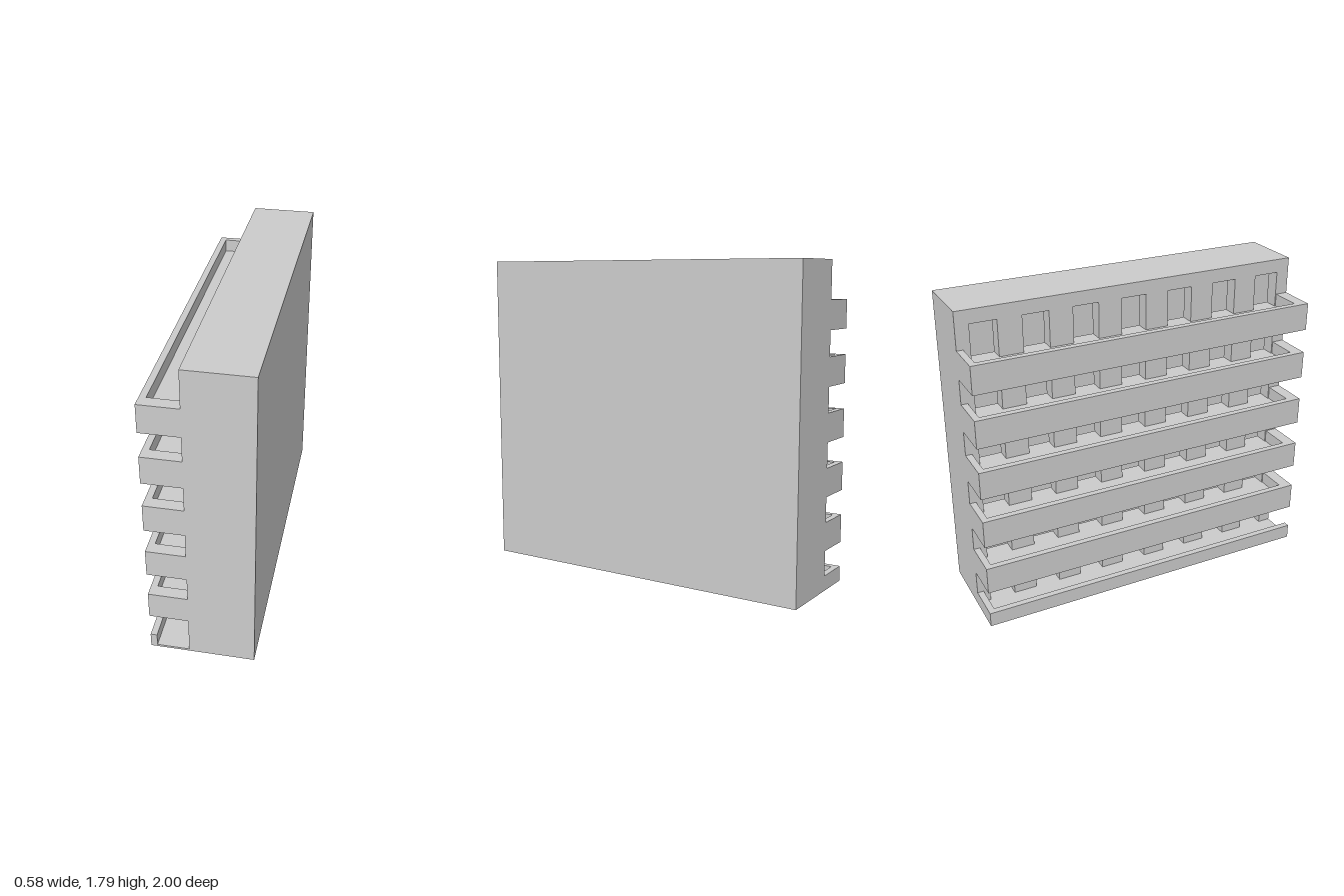
import * as THREE from 'three';

const mat = new THREE.MeshStandardMaterial({ color: 0xcccccc, flatShading: true });
const openMat = new THREE.MeshStandardMaterial({ color: 0xcccccc, flatShading: true, side: THREE.DoubleSide });
const H = 1.787, FRONT = -0.073, DEPTH = 0.08, OUT = 0.288, RAIL = 0.036;
const STOREY = 0.2985, FLOOR = 0.0125, FLOORS = 6, BAYS = 7;

function add(parent, name, geometry, material = mat) {
  const mesh = new THREE.Mesh(geometry, material);
  mesh.name = name;
  parent.add(mesh);
}

// Box given by its two extreme corners
function box(x0, x1, y0, y1, z0, z1) {
  return new THREE.BoxGeometry(x1 - x0, y1 - y0, z1 - z0)
    .translate((x0 + x1) / 2, (y0 + y1) / 2, (z0 + z1) / 2);
}

function rect(path, x0, x1, y0, y1) {
  path.moveTo(x0, y0);
  path.lineTo(x1, y0);
  path.lineTo(x1, y1);
  path.lineTo(x0, y1);
  path.closePath();
  return path;
}

export function createModel() {
  const model = new THREE.Group();
  model.name = 'balconyBlock';

  // Hollow building shell, open towards the facade, so its inside shows too
  const shell = box(FRONT + DEPTH, OUT, 0, H, -1, 1);
  shell.setIndex(Array.from(shell.index.array).filter((_, i) => i < 6 || i >= 12));
  shell.clearGroups();
  add(model, 'buildingShell', shell, openMat);

  // Facade with a grid of door openings
  const wall = rect(new THREE.Shape(), -1, 1, 0, H);
  const pitch = 0.2835, bay = 0.148;
  for (let f = 0; f < FLOORS; f++) {
    const y = FLOOR + f * STOREY;
    for (let b = 0; b < BAYS; b++) {
      const z = (b - (BAYS - 1) / 2) * pitch;
      wall.holes.push(rect(new THREE.Path(), z - bay / 2, z + bay / 2, y, y + 0.205));
    }
  }
  const facade = new THREE.ExtrudeGeometry(wall, { depth: DEPTH, bevelEnabled: false });
  facade.rotateY(-Math.PI / 2).translate(FRONT + DEPTH, 0, 0);
  add(model, 'facade', facade);

  // Balconies: floor slab with a parapet; the lowest is open at the front end
  for (let f = 0; f < FLOORS; f++) {
    const balcony = new THREE.Group();
    balcony.name = 'balcony' + f;
    const y = FLOOR + f * STOREY, top = y + 0.0725;
    const bottom = f === 0 ? 0 : y - 0.086;
    const inner = -OUT + RAIL;
    const frontEnd = f === 0 ? 1 : 0.93;
    add(balcony, 'floorSlab', box(inner, FRONT, y - FLOOR, y, -1 + RAIL, frontEnd));
    add(balcony, 'outerParapet', box(-OUT, inner, bottom, top, -1, 1));
    add(balcony, 'backParapet', box(inner, FRONT, bottom, top, -1, -1 + RAIL));
    if (f > 0) add(balcony, 'frontParapet', box(inner, FRONT, bottom, top, frontEnd, 1));
    model.add(balcony);
  }
  return model;
}
